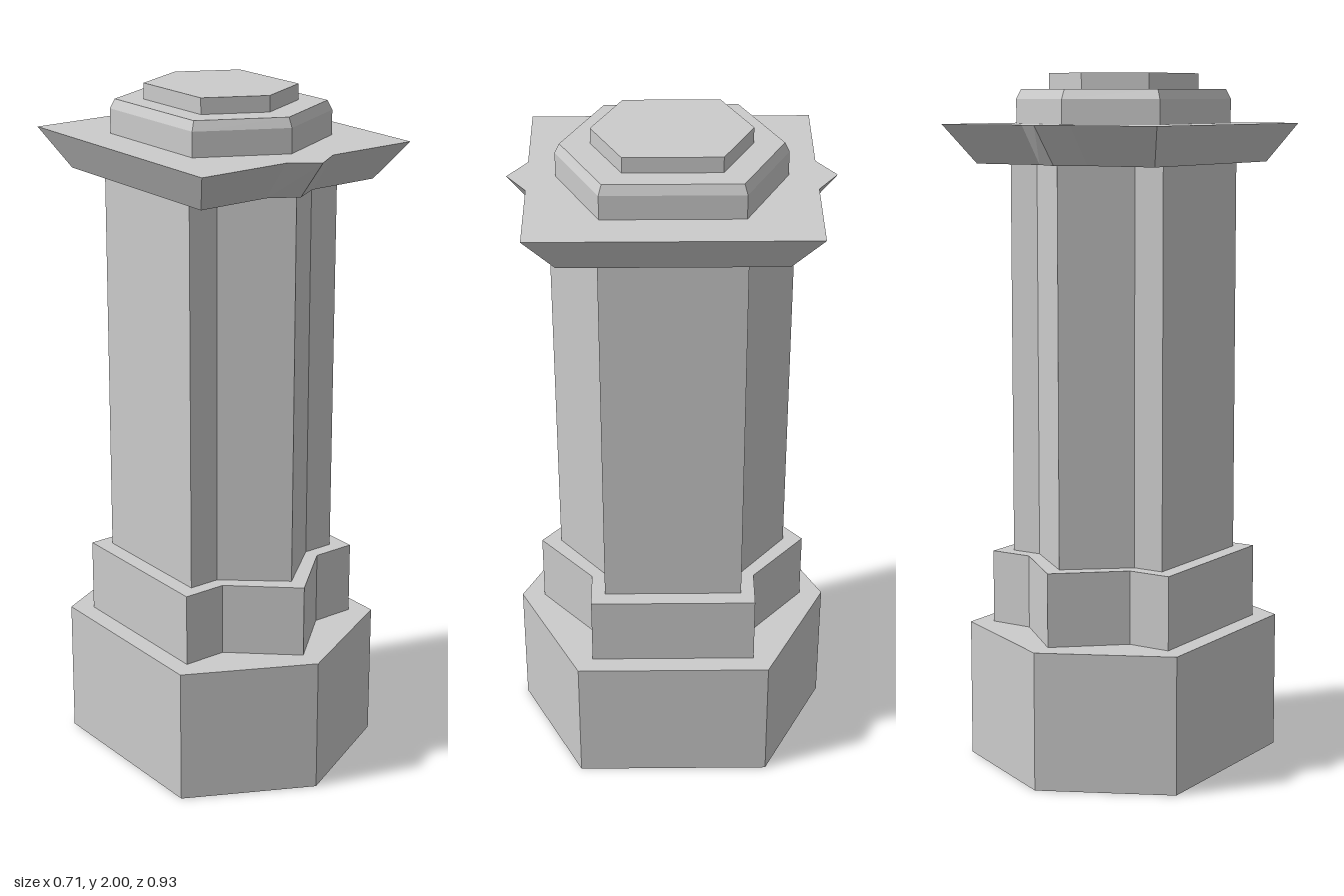
import * as THREE from 'three';

const material = new THREE.MeshStandardMaterial({ color: 0xcccccc, flatShading: true, side: THREE.DoubleSide });

// Plan outline: a box of half-size x by z with a pointed wedge reaching +-apex.
// The wedge root is w wide to each side; w equal to x gives a plain hexagon.
function outline(x, z, apex, w = x) {
  const half = [[0, apex], [w, z]];
  if (w < x) half.push([x, z]);
  half.push([x, -z]);
  if (w < x) half.push([w, -z]);
  return [...half, ...half.map(([px, pz]) => [-px, -pz])];
}

// Joins a stack of [height, outline] sections and closes the ends.
function loft(name, sections, closedBottom = true) {
  const positions = [];
  const tri = (...corners) => corners.forEach((c) => positions.push(...c));
  const at = ([y, points], i) => {
    const [x, z] = points[i % points.length];
    return [x, y, z];
  };
  const count = sections[0][1].length;
  const first = sections[0];
  const last = sections[sections.length - 1];
  for (let i = 0; i < count; i++) {
    for (let s = 0; s < sections.length - 1; s++) {
      const lo = sections[s], hi = sections[s + 1];
      tri(at(lo, i), at(lo, i + 1), at(hi, i + 1));
      tri(at(lo, i), at(hi, i + 1), at(hi, i));
    }
    tri([0, last[0], 0], at(last, i), at(last, i + 1));
    if (closedBottom) tri([0, first[0], 0], at(first, i + 1), at(first, i));
  }
  const geometry = new THREE.BufferGeometry();
  geometry.setAttribute('position', new THREE.Float32BufferAttribute(positions, 3));
  geometry.computeVertexNormals();
  const mesh = new THREE.Mesh(geometry, material);
  mesh.name = name;
  return mesh;
}

// Straight-sided block
const prism = (name, y0, y1, plan, closedBottom) => loft(name, [[y0, plan], [y1, plan]], closedBottom);

export function createModel() {
  const model = new THREE.Group();
  model.name = 'pillar';
  model.add(
    // Hexagonal plinth, hollow and open underneath
    prism('plinth', 0, 0.4, outline(0.357, 0.282, 0.463), false),
    // Stepped base and shaft with pointed front and back ribs
    prism('shaftBase', 0.4, 0.613, outline(0.303, 0.24, 0.395, 0.175)),
    prism('shaft', 0.613, 1.747, outline(0.257, 0.2, 0.337, 0.165)),
    // Flared cornice
    loft('cornice', [
      [1.747, outline(0.297, 0.307, 0.355, 0.08)],
      [1.858, outline(0.356, 0.391, 0.446, 0.08)],
    ]),
    // Bevelled hexagonal cap
    loft('cap', [
      [1.858, outline(0.241, 0.193, 0.314)],
      [1.928, outline(0.241, 0.193, 0.314)],
      [1.955, outline(0.23, 0.185, 0.301)],
    ]),
    // Small top block
    prism('topBlock', 1.955, 2, outline(0.168, 0.133, 0.218)),
  );
  return model;
}
